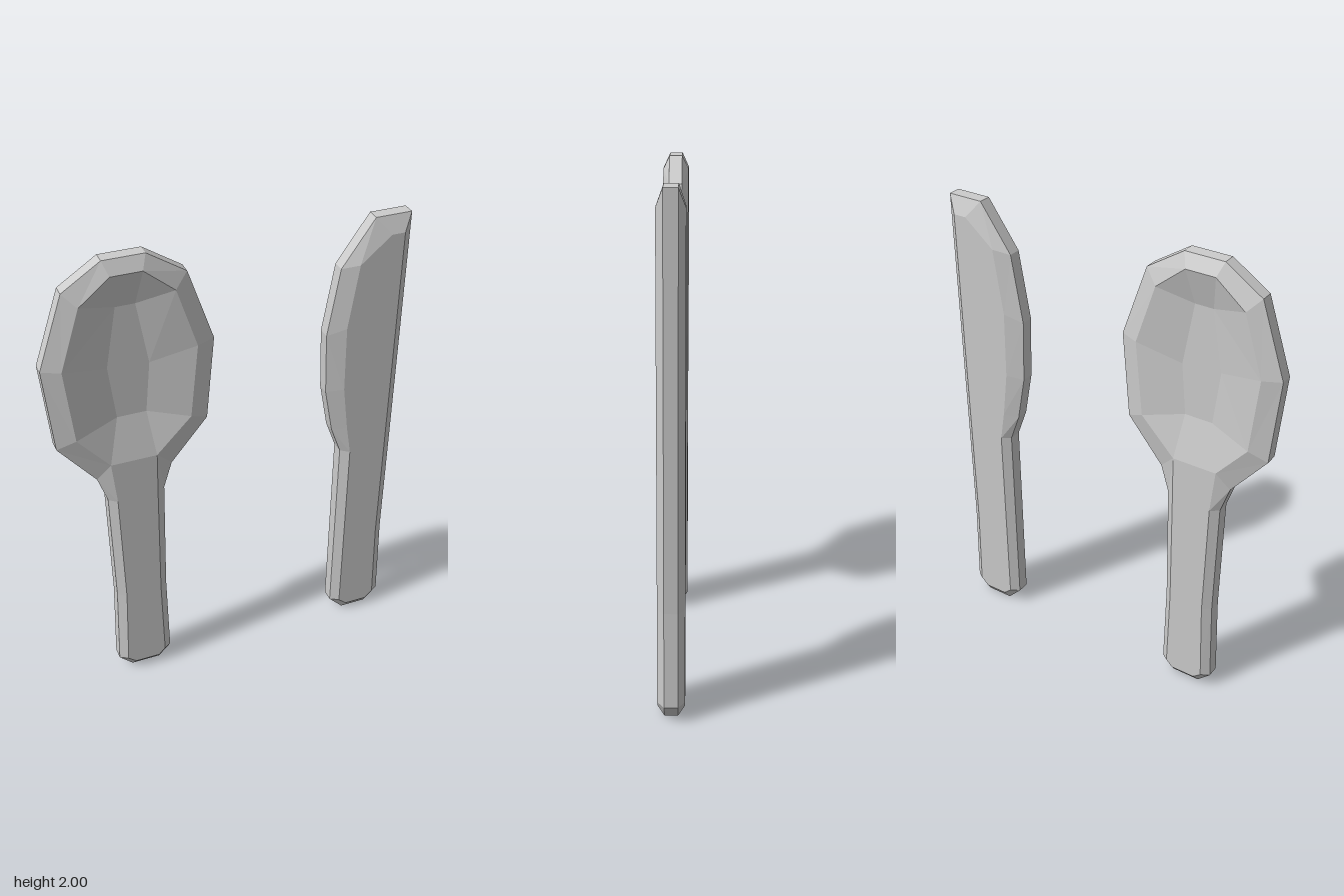
import * as THREE from 'three';

const EDGE_Z = 0.026, FACE_Z = 0.052, BOWL_Z = 0.012;

const material = new THREE.MeshStandardMaterial({ color: 0xcccccc, flatShading: true });

// Collects triangles that are mirrored from the front to the back
function createBuilder() {
  const positions = [];
  const tri = (a, b, c) => positions.push(...a, ...b, ...c);
  const flip = ([x, y, z]) => [x, y, -z];
  const face = (a, b, c) => {
    const area = (b[0] - a[0]) * (c[1] - a[1]) - (b[1] - a[1]) * (c[0] - a[0]);
    if (Math.abs(area) < 1e-7) return;
    if (area < 0) [b, c] = [c, b];
    tri(a, b, c);
    tri(flip(a), flip(c), flip(b));
  };
  const quad = (a, b, c, d) => { face(a, b, c); face(a, c, d); };

  // Flat edge band plus the bevel leading in to the broad face
  const rim = (outer, inner) => outer.forEach((a, i) => {
    const j = (i + 1) % outer.length, b = outer[j];
    tri(a, b, flip(b));
    tri(a, flip(b), flip(a));
    quad(inner[i], inner[j], b, a);
  });

  const fill = (points) => {
    const contour = points.map(([x, y]) => new THREE.Vector2(x, y));
    for (const [a, b, c] of THREE.ShapeUtils.triangulateShape(contour, []))
      face(points[a], points[b], points[c]);
  };

  const mesh = (name) => {
    const geometry = new THREE.BufferGeometry();
    geometry.setAttribute('position', new THREE.Float32BufferAttribute(positions, 3));
    geometry.computeVertexNormals();
    const result = new THREE.Mesh(geometry, material);
    result.name = name;
    return result;
  };
  return { rim, fill, quad, mesh };
}

const atDepth = (points, z) => points.map(([x, y]) => [x, y, z]);

function createSpoon() {
  // Outlines run clockwise from the top left
  const outer = atDepth([
    [-0.484, 2.0], [-0.32, 2.0], [-0.167, 1.9], [-0.066, 1.6], [-0.098, 1.245], [-0.25, 1.063],
    [-0.285, 0.95], [-0.293, 0.44], [-0.286, 0.065], [-0.34, 0.01], [-0.463, 0.01], [-0.52, 0.065],
    [-0.51, 0.44], [-0.52, 0.95], [-0.558, 1.063], [-0.706, 1.245], [-0.738, 1.6], [-0.637, 1.9],
  ], EDGE_Z);
  const inner = atDepth([
    [-0.463, 1.945], [-0.34, 1.945], [-0.22, 1.845], [-0.14, 1.595], [-0.172, 1.283], [-0.317, 1.135],
    [-0.32, 0.95], [-0.325, 0.44], [-0.318, 0.072], [-0.347, 0.043], [-0.452, 0.043], [-0.487, 0.072],
    [-0.476, 0.44], [-0.487, 0.95], [-0.505, 1.135], [-0.632, 1.283], [-0.664, 1.595], [-0.585, 1.845],
  ], FACE_Z);
  const floor = atDepth([
    [-0.44, 1.8], [-0.363, 1.8], [-0.32, 1.54], [-0.34, 1.325], [-0.458, 1.325], [-0.484, 1.55],
  ], BOWL_Z);

  const builder = createBuilder();
  builder.rim(outer, inner);
  builder.fill(inner.slice(5, 15)); // handle

  // Bowl: each lip corner slopes down to its floor corner
  const lip = [0, 1, 2, 3, 4, 5, 14, 15, 16, 17];
  const target = [0, 1, 1, 2, 3, 3, 4, 4, 5, 0];
  lip.forEach((k, i) => {
    const n = (i + 1) % lip.length;
    builder.quad(inner[k], inner[lip[n]], floor[target[n]], floor[target[i]]);
  });
  builder.fill(floor);
  return builder.mesh('spoon');
}

function createKnife() {
  const outer = atDepth([
    [0.585, 1.975], [0.735, 1.975], [0.725, 0.44], [0.735, 0.065], [0.675, 0.0], [0.56, 0.0],
    [0.497, 0.065], [0.497, 0.92], [0.452, 1.04], [0.415, 1.235], [0.405, 1.5], [0.452, 1.785],
  ], EDGE_Z);
  const inner = atDepth([
    [0.645, 1.905], [0.7, 1.905], [0.69, 0.44], [0.7, 0.07], [0.667, 0.038], [0.568, 0.038],
    [0.532, 0.07], [0.532, 0.92], [0.51, 1.05], [0.485, 1.245], [0.48, 1.53], [0.52, 1.8],
  ], FACE_Z);
  const builder = createBuilder();
  builder.rim(outer, inner);
  builder.fill(inner);
  return builder.mesh('knife');
}

export function createModel() {
  const group = new THREE.Group();
  group.name = 'cutlery';
  group.add(createSpoon(), createKnife());
  return group;
}
